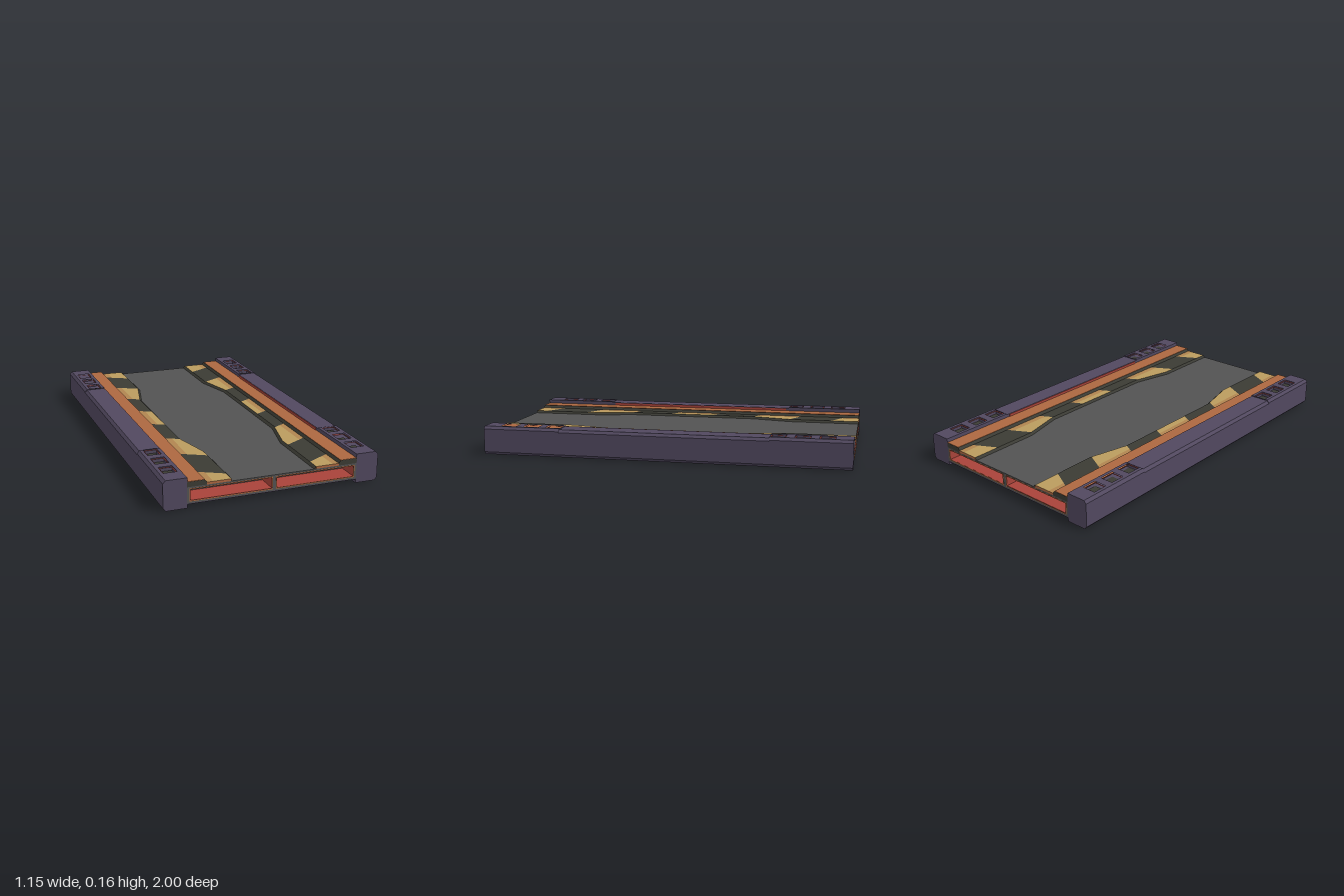
import * as THREE from 'three';

const mat = (name, color, side = THREE.FrontSide) => {
  const m = new THREE.MeshStandardMaterial({ color, side });
  m.name = name;
  return m;
};

export function createModel() {
  const purple = mat('purple', 0x51485f);
  const grey = mat('grey', 0x535353);
  const dark = mat('charcoal', 0x3b3b34, THREE.DoubleSide);
  const orange = mat('orange', 0xad6840);
  const yellow = mat('yellow', 0xba9c5e);
  const tan = mat('tan', 0xb18550);
  const red = mat('red', 0xa8433a);

  const model = new THREE.Group();
  model.name = 'floorPanel';
  const add = (name, geo, material) => {
    const mesh = new THREE.Mesh(geo, material);
    mesh.name = name;
    model.add(mesh);
    return mesh;
  };

  // Box given by its limits on each axis
  const box = (name, m, x0, x1, y0, y1, z0, z1) =>
    add(name, new THREE.BoxGeometry(Math.abs(x1 - x0), y1 - y0, Math.abs(z1 - z0))
      .translate((x0 + x1) / 2, (y0 + y1) / 2, (z0 + z1) / 2), m);

  // x,y profile drawn out along z
  const alongZ = (name, m, pts, z0, z1) => {
    const shape = new THREE.Shape(pts.map(p => new THREE.Vector2(...p)));
    const geo = new THREE.ExtrudeGeometry(shape, { depth: z1 - z0, bevelEnabled: false });
    return add(name, geo.translate(0, 0, z0), m);
  };

  // x,z outline with optional holes, raised from y0 to y1
  const plan = (name, m, pts, y0, y1, holes = []) => {
    const toV = p => new THREE.Vector2(p[0], -p[1]);
    const shape = new THREE.Shape(pts.map(toV));
    shape.holes = holes.map(h => new THREE.Path(h.map(toV)));
    const geo = new THREE.ExtrudeGeometry(shape, { depth: y1 - y0, bevelEnabled: false });
    return add(name, geo.rotateX(-Math.PI / 2).translate(0, y0, 0), m);
  };
  const rect = (x, z, w, d) =>
    [[x - w, z - d], [x + w, z - d], [x + w, z + d], [x - w, z + d]];

  // Central body: deck, floor, core and divider leave open bays at both ends
  const bay = 0.88;
  box('deck', grey, -0.455, 0.455, 0.098, 0.108, -1, 1);
  box('bodyFloor', grey, -0.455, 0.455, 0.024, 0.035, -1, 1);
  box('underside', purple, -0.455, 0.455, 0.02, 0.024, -1, 1);
  box('core', grey, -0.455, 0.455, 0.035, 0.098, -bay, bay);
  for (const f of [-1, 1]) {
    box('divider', grey, -0.009, 0.009, 0.035, 0.098, f * bay, f);
    for (const s of [-1, 1]) {
      box('bayWall', grey, s * 0.443, s * 0.455, 0.035, 0.098, f * bay, f);
      // Red lining and orange rim of each bay
      const x0 = s * 0.009, x1 = s * 0.443, zi = f * 0.996;
      box('bayFloor', red, x0, x1, 0.035, 0.037, f * bay, zi);
      box('bayCeiling', red, x0, x1, 0.096, 0.098, f * bay, zi);
      box('bayInnerSide', red, x0, x0 + s * 0.002, 0.037, 0.096, f * bay, zi);
      box('bayOuterSide', red, x1 - s * 0.002, x1, 0.037, 0.096, f * bay, zi);
      box('bayBackBand', dark, x0, x1, 0.08, 0.096, f * bay, f * (bay + 0.003));
      const rim = new THREE.Shape([[x0, 0.033], [x1, 0.033], [x1, 0.1], [x0, 0.1]]
        .map(p => new THREE.Vector2(...p)));
      const a = x0 + s * 0.005, b = x1 - s * 0.005;
      rim.holes.push(new THREE.Path([[a, 0.038], [b, 0.038], [b, 0.095], [a, 0.095]]
        .map(p => new THREE.Vector2(...p))));
      add('bayRim', new THREE.ExtrudeGeometry(rim, { depth: 0.003, bevelEnabled: false })
        .translate(0, 0, f > 0 ? 0.998 : -1.001), orange);
    }
  }

  // Inner edge of the warning strip: wide at the ends, narrow in the middle
  const breaks = [-0.6, -0.37, 0.37, 0.6];
  const edge = z => 0.227 + 0.055 * THREE.MathUtils.clamp((0.6 - Math.abs(z)) / 0.23, 0, 1);
  const outer = 0.353, split = 0.32;
  const clampZ = z => THREE.MathUtils.clamp(z, -1, 1);
  const lineZ = (z0, x) => clampZ(z0 + 0.55 * (outer - x));
  const innerZ = z0 => {
    let z = clampZ(z0);
    for (let i = 0; i < 20; i++) z = lineZ(z0, edge(z));
    return z;
  };

  for (const s of [-1, 1]) {
    // Slanted warning stripes
    const cuts = [-1.4, -0.91, -0.66, -0.41, -0.155, 0.095, 0.345, 0.597, 0.86, 1.3];
    for (let i = 0; i < cuts.length - 1; i++) {
      const a = cuts[i], b = cuts[i + 1], isDark = i % 2 === 1;
      const xo = isDark ? outer : split;
      const za = innerZ(a), zb = innerZ(b);
      const inner = [za, ...breaks.filter(z => z > za + 0.001 && z < zb - 0.001), zb];
      const pts = [[s * xo, lineZ(b, xo)], [s * xo, lineZ(a, xo)],
        ...inner.map(z => [s * edge(z), z])];
      plan(isDark ? 'darkStripe' : 'yellowStripe',
        isDark ? dark : [yellow, orange], pts, 0.105, 0.12);
      if (!isDark) {
        plan('stripeShade', [tan, orange], [
          [s * split, lineZ(a, split)], [s * outer, lineZ(a, outer)],
          [s * outer, lineZ(b, outer)], [s * split, lineZ(b, split)]], 0.105, 0.12);
      }
    }

    // Sloping dark lip beside the deck
    const pos = [], idx = [];
    [-1, ...breaks, 1].forEach((z, i) => {
      pos.push(s * edge(z), 0.12, z, s * (edge(z) - 0.012), 0.108, z);
      if (i) {
        const k = 2 * i;
        if (s > 0) idx.push(k - 2, k - 1, k, k, k - 1, k + 1);
        else idx.push(k - 2, k, k - 1, k, k + 1, k - 1);
      }
    });
    const lip = new THREE.BufferGeometry();
    lip.setAttribute('position', new THREE.Float32BufferAttribute(pos, 3));
    lip.setIndex(idx);
    const flatLip = lip.toNonIndexed();
    flatLip.computeVertexNormals();
    add('stripLip', flatLip, dark);

    // Raised ledge with orange top
    alongZ('ledge', dark, [[s * 0.353, 0.105], [s * 0.455, 0.105], [s * 0.455, 0.134],
      [s * 0.364, 0.134], [s * 0.353, 0.12]], -1, 1);
    box('ledgeTop', orange, s * 0.364, s * 0.455, 0.134, 0.136, -0.999, 0.999);

    // Side rail: base, lower middle, taller ends and chamfered outer edge
    box('railBase', purple, s * 0.453, s * 0.562, 0, 0.132, -1, 1);
    box('railMiddle', purple, s * 0.453, s * 0.562, 0.132, 0.152, -0.57, 0.57);
    box('railTrim', red, s * 0.449, s * 0.453, 0.135, 0.15, -0.55, 0.55);
    for (const [z0, z1, top] of [[-1, -0.57, 0.157], [-0.57, 0.57, 0.152], [0.57, 1, 0.157]]) {
      alongZ('railEdge', purple, [[s * 0.562, 0], [s * 0.576, 0.015],
        [s * 0.576, top - 0.015], [s * 0.562, top]], z0, z1);
    }

    // Square pockets in the rail ends
    for (const f of [-1, 1]) {
      const px = s * 0.508, zs = [0.613, 0.74, 0.867].map(z => z * f);
      plan('railEnd', purple, [[s * 0.453, f * 0.57], [s * 0.562, f * 0.57],
        [s * 0.562, f], [s * 0.453, f]], 0.132, 0.157, zs.map(z => rect(px, z, 0.036, 0.041)));
      for (const z of zs) {
        plan('pocketLining', red, rect(px, z, 0.036, 0.041), 0.132, 0.152,
          [rect(px, z, 0.03, 0.034)]);
        box('pocketFloor', dark, px - 0.031, px + 0.031, 0.131, 0.135, z - 0.035, z + 0.035);
      }
    }
  }
  return model;
}
